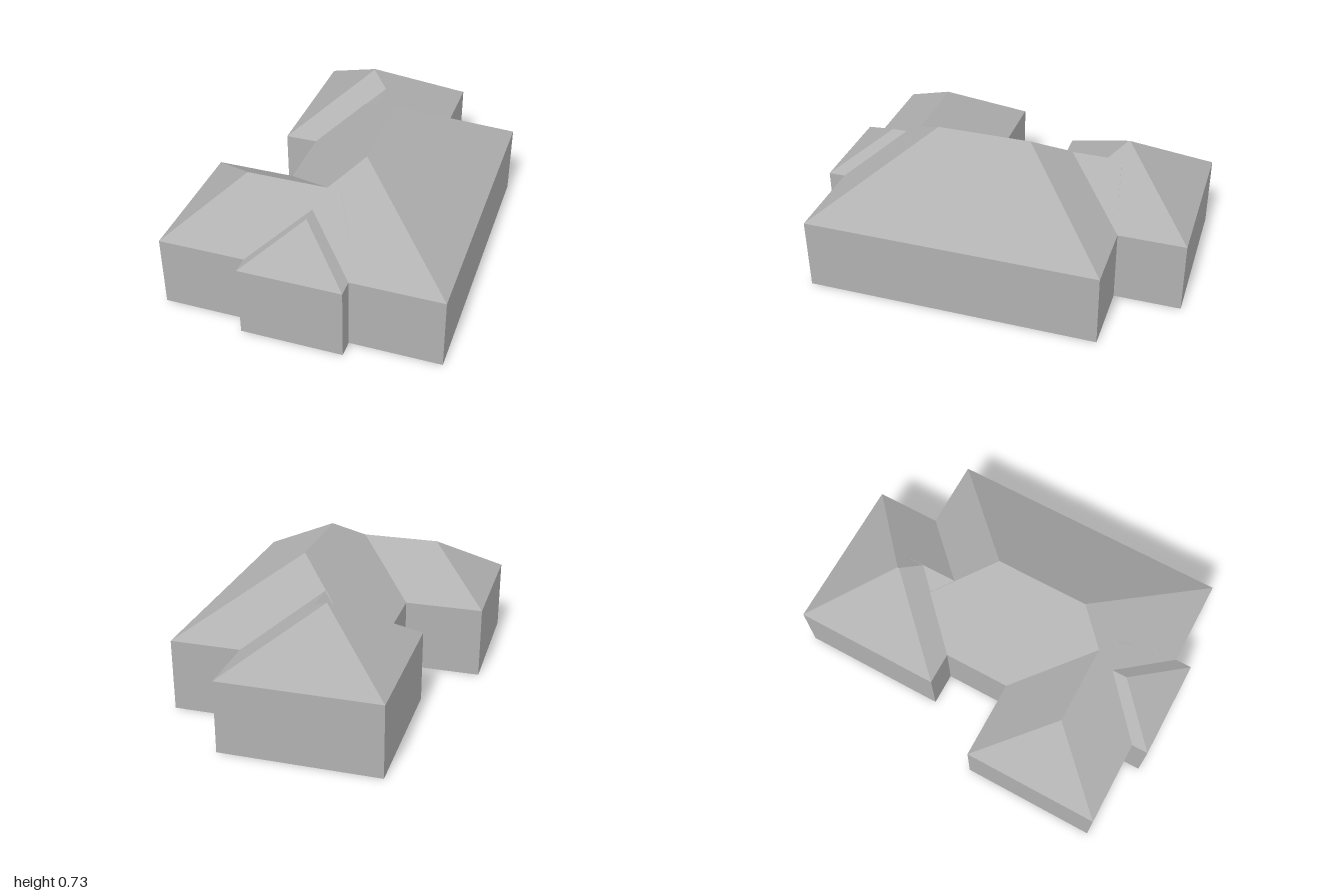
import * as THREE from 'three';

const BASE = 0.01, EAVE = 0.39;

// Walled block with a hipped roof over the rectangle x0..x1, z0..z1.
// ridge = [[x, z], [x, z]]: front then back end, or left then right end if alongX.
function hipBlock(name, material, [x0, x1, z0, z1], ridge, height, alongX = false) {
  const plan = [[x0, z1], [x1, z1], [x1, z0], [x0, z0]];
  const low = plan.map(([x, z]) => [x, BASE, z]);
  const top = plan.map(([x, z]) => [x, EAVE, z]);
  const [P, Q] = ridge.map(([x, z]) => [x, height, z]);
  const positions = [];
  const face = (...c) => {
    for (let i = 1; i < c.length - 1; i++) positions.push(...c[0], ...c[i], ...c[i + 1]);
  };

  // walls and floor
  for (let i = 0; i < 4; i++) {
    const j = (i + 1) % 4;
    face(low[i], low[j], top[j], top[i]);
  }
  face(low[3], low[2], low[1], low[0]);

  // roof slopes
  const [a, b, c, d] = top;
  if (alongX) {
    face(d, a, P);
    face(a, b, Q, P);
    face(b, c, Q);
    face(c, d, P, Q);
  } else {
    face(a, b, P);
    face(b, c, Q, P);
    face(c, d, Q);
    face(d, a, P, Q);
  }

  const geometry = new THREE.BufferGeometry();
  geometry.setAttribute('position', new THREE.Float32BufferAttribute(positions, 3));
  geometry.computeVertexNormals();
  const mesh = new THREE.Mesh(geometry, material);
  mesh.name = name;
  return mesh;
}

export function createModel() {
  const grey = new THREE.MeshStandardMaterial({ color: 0xb0b0b0 });
  grey.name = 'plain grey';

  const house = new THREE.Group();
  house.name = 'house';
  house.add(
    // long central body with the highest ridge
    hipBlock('mainBlock', grey, [-0.294, 0.727, -0.626, 0.893], [[0.18, 0.368], [0.18, -0.123]], 0.737),
    // wing on the front side
    hipBlock('sideWing', grey, [-0.708, 0.3, 0.175, 0.893], [[-0.382, 0.531], [0.1, 0.531]], 0.63, true),
    // square wing at the back with a pointed roof
    hipBlock('backWing', grey, [-0.465, 0.357, -0.971, -0.18], [[-0.078, -0.572], [-0.078, -0.58]], 0.675),
    // low ridge joining the back wing to the main block
    hipBlock('connectingRoof', grey, [-0.294, 0.357, -0.62, -0.19], [[0.017, -0.25], [0.017, -0.56]], 0.614),
    // shallow bay projecting from the front wall
    hipBlock('frontBay', grey, [-0.263, 0.261, 0.45, 0.98], [[-0.008, 0.713], [-0.008, 0.5]], 0.562)
  );
  // the plan is turned slightly from the axes
  house.rotation.y = -0.0725;

  const model = new THREE.Group();
  model.name = 'hippedRoofHouse';
  model.add(house);
  return model;
}
